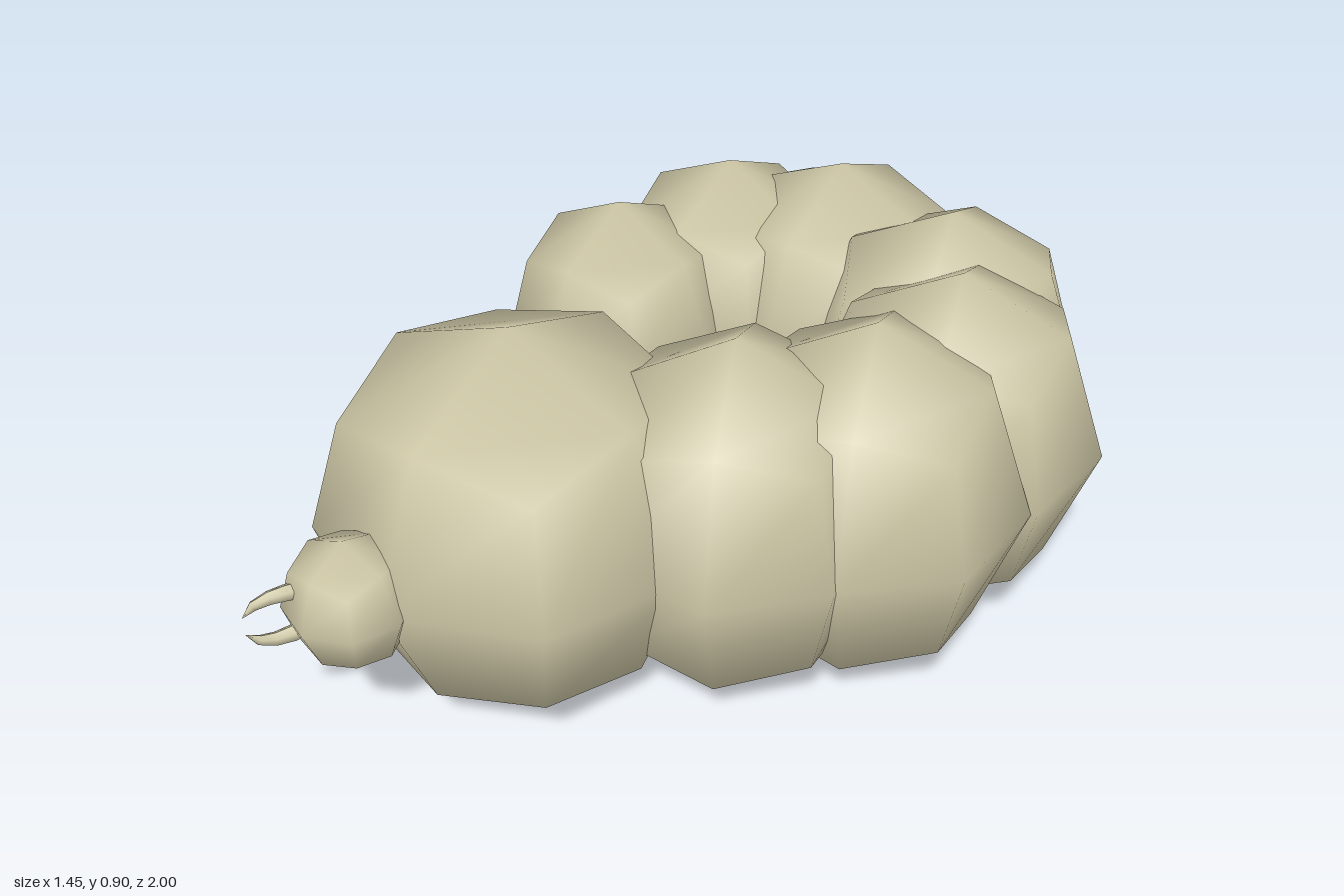
import * as THREE from 'three';
import { mergeVertices } from 'three/addons/utils/BufferGeometryUtils.js';

const CENTRE_Y = 0.45;

// Low-poly ball: a 2x2x2 subdivided cube pushed out to a unit sphere, smooth shaded
function makeBall() {
  let g = new THREE.BoxGeometry(2, 2, 2, 2, 2, 2);
  g.deleteAttribute('uv');
  g.deleteAttribute('normal');
  g = mergeVertices(g);
  const p = g.attributes.position;
  const v = new THREE.Vector3();
  for (let i = 0; i < p.count; i++) {
    v.fromBufferAttribute(p, i).normalize();
    p.setXYZ(i, v.x, v.y, v.z);
  }
  g.computeVertexNormals();
  return g;
}

// Tapered hook: rings of vertices around a short path, ending in a point
function makeHook(path, radii, sides = 6) {
  const curve = new THREE.CatmullRomCurve3(path.map((q) => new THREE.Vector3(...q)));
  const rings = radii.length;
  const g = new THREE.TubeGeometry(curve, rings - 1, 1, sides, false);
  const p = g.attributes.position;
  const v = new THREE.Vector3();
  const c = new THREE.Vector3();
  for (let i = 0; i < rings; i++) {
    curve.getPointAt(i / (rings - 1), c);
    for (let j = 0; j <= sides; j++) {
      const k = i * (sides + 1) + j;
      v.fromBufferAttribute(p, k).sub(c).multiplyScalar(radii[i]).add(c);
      p.setXYZ(k, v.x, v.y, v.z);
    }
  }
  g.computeVertexNormals();
  return g;
}

export function createModel() {
  const model = new THREE.Group();
  model.name = 'grub';
  const skin = new THREE.MeshStandardMaterial({ color: 0xcbc5a4 });
  skin.name = 'paleSkin';
  const ball = makeBall();

  // Curled body, from the front round to the tail: x, z, width radius, height radius, turn in degrees
  const segments = [
    ['thorax', -0.23, 0.39, 0.438, 0.45, 0],
    ['bodySegment1', 0.15, 0.14, 0.35, 0.43, 24],
    ['bodySegment2', 0.355, -0.07, 0.35, 0.43, 20],
    ['bodySegment3', 0.395, -0.36, 0.34, 0.41, 17],
    ['bodySegment4', 0.24, -0.6, 0.33, 0.39, 14],
    ['bodySegment5', -0.1, -0.675, 0.325, 0.37, 0],
    ['bodySegment6', -0.345, -0.57, 0.295, 0.35, -2],
    ['tailSegment', -0.46, -0.285, 0.27, 0.335, -3],
    ['head', -0.32, 0.82, 0.138, 0.15, 0],
  ];
  for (const [name, x, z, r, h, turn] of segments) {
    const mesh = new THREE.Mesh(ball, skin);
    mesh.name = name;
    mesh.position.set(x, CENTRE_Y, z);
    mesh.scale.set(r, h, r);
    mesh.rotation.y = THREE.MathUtils.degToRad(turn);
    model.add(mesh);
  }

  // Pair of hooked jaws curling toward each other
  for (const side of [1, -1]) {
    const path = [
      [-0.375, 0.05, 0.89],
      [-0.4, 0.055, 0.94],
      [-0.42, 0.048, 0.975],
      [-0.435, 0.022, 1.0],
    ].map(([x, y, z]) => [x, CENTRE_Y + side * y, z]);
    const jaw = new THREE.Mesh(makeHook(path, [0.018, 0.018, 0.015, 0.011, 0.0005]), skin);
    jaw.name = side > 0 ? 'upperJaw' : 'lowerJaw';
    model.add(jaw);
  }
  return model;
}
